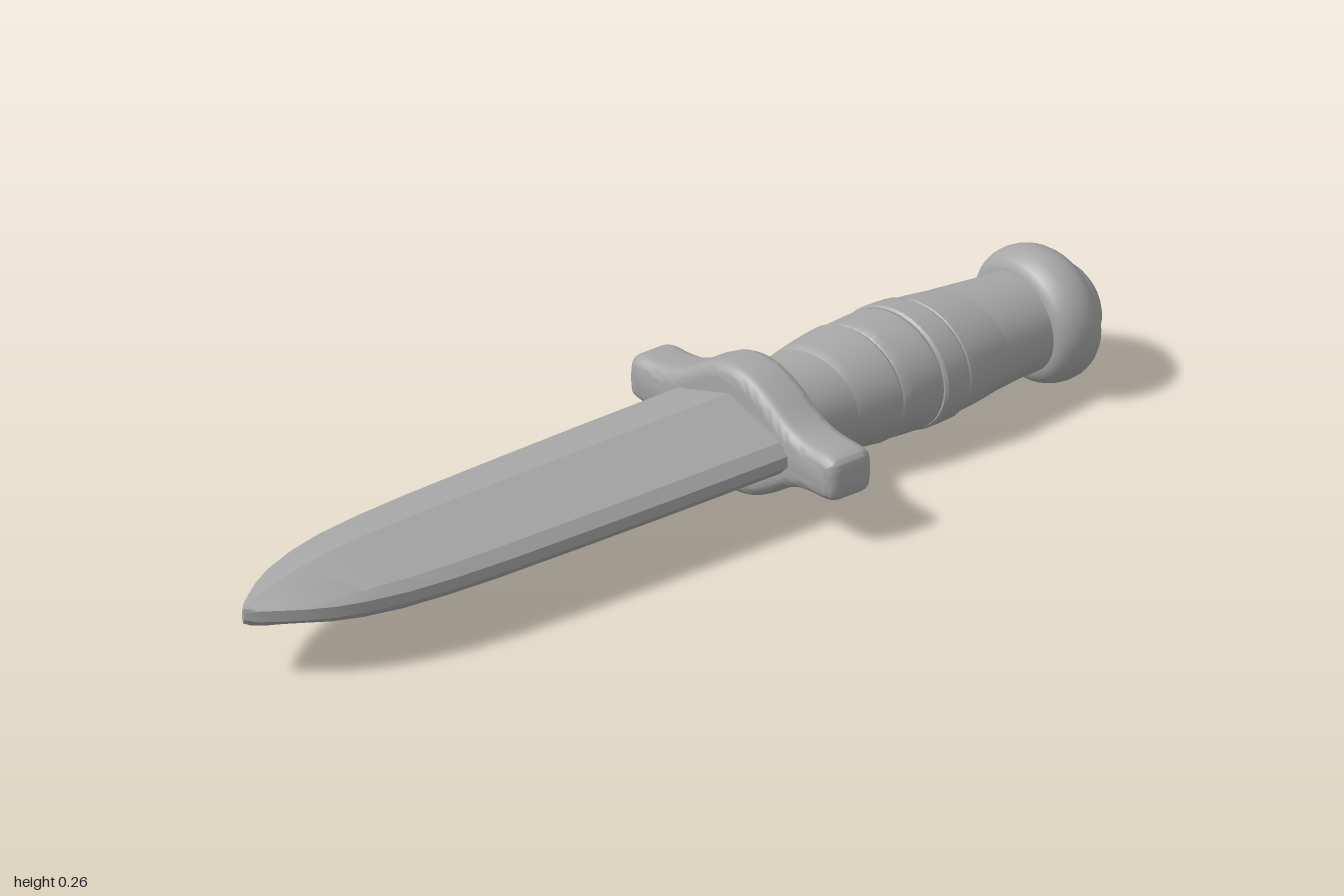
import * as THREE from 'three';
import { toCreasedNormals } from 'three/addons/utils/BufferGeometryUtils.js';

const MID = 0.13; // height of the dagger's long axis
const steel = new THREE.MeshStandardMaterial({ color: 0xa6a6a6 });
steel.name = 'grey';

function part(name, geometry, crease = 0.6) {
  const mesh = new THREE.Mesh(toCreasedNormals(geometry, crease), steel);
  mesh.name = name;
  mesh.position.y = MID;
  return mesh;
}

// Oval turned part: profile of [radius, distance behind the origin]
function turned(name, profile, slant = 0, crease = 0.6) {
  const geo = new THREE.LatheGeometry(profile.map(([r, d]) => new THREE.Vector2(r, d)), 40);
  geo.rotateX(-Math.PI / 2).scale(1, 0.88, 1);
  const p = geo.attributes.position;
  for (let i = 0; i < p.count; i++) p.setZ(i, p.getZ(i) + slant * p.getX(i));
  return part(name, geo, crease);
}

// Blade lofted along z with a faceted diamond section
function blade() {
  // z, half width, half height
  const stations = [
    [-0.2, 0.166, 0.076], [0.1, 0.164, 0.076], [0.3, 0.161, 0.075], [0.5, 0.156, 0.074],
    [0.62, 0.149, 0.072], [0.72, 0.137, 0.07], [0.8, 0.119, 0.064], [0.86, 0.098, 0.056],
    [0.91, 0.071, 0.046], [0.95, 0.044, 0.036], [0.98, 0.022, 0.026], [1, 0.003, 0.015],
  ];
  const pos = [], idx = [], n = 10;
  for (const [z, w, h] of stations) {
    const e = Math.min(0.011, h * 0.5), s = Math.max(h * 0.42, e);
    const ring = [
      [w, -e], [w, e], [w * 0.87, s], [0, h], [-w * 0.87, s],
      [-w, e], [-w, -e], [-w * 0.87, -s], [0, -h], [w * 0.87, -s],
    ];
    for (const [x, y] of ring) pos.push(x, y, z);
  }
  const last = (stations.length - 1) * n;
  for (let i = 0; i < last; i += n) {
    for (let j = 0; j < n; j++) {
      const k = (j + 1) % n;
      idx.push(i + j, i + k, i + n + k, i + j, i + n + k, i + n + j);
    }
  }
  for (let j = 1; j < n - 1; j++) idx.push(0, j + 1, j, last, last + j, last + j + 1);
  const geo = new THREE.BufferGeometry();
  geo.setAttribute('position', new THREE.Float32BufferAttribute(pos, 3));
  geo.setIndex(idx);
  return part('blade', geo, 0.45);
}

// Crossguard swelling in the middle, with rounded edges
function guard() {
  const quarter = [
    [0.29, 0.018], [0.284, 0.037], [0.265, 0.045], [0.22, 0.047], [0.18, 0.053],
    [0.145, 0.067], [0.1, 0.095], [0.05, 0.119], [0, 0.127],
  ];
  const half = [...quarter, ...quarter.slice(0, -1).reverse().map(([x, y]) => [-x, y])];
  const loop = [...half, ...half.map(([x, y]) => [-x, -y])];
  const curve = new THREE.CatmullRomCurve3(loop.map(([x, y]) => new THREE.Vector3(x, y, 0)), true);
  const shape = new THREE.Shape(curve.getPoints(120).slice(0, -1).map((v) => new THREE.Vector2(v.x, v.y)));
  const bevel = 0.026;
  const geo = new THREE.ExtrudeGeometry(shape, {
    depth: 0.105 - 2 * bevel, bevelEnabled: true, bevelSize: bevel,
    bevelThickness: bevel, bevelOffset: -bevel, bevelSegments: 5,
  });
  geo.translate(0, 0, -0.26 + bevel);
  return part('crossguard', geo, 0.7);
}

// Slanted, slightly overlapping wraps on a barrel-shaped grip
function wraps() {
  const group = new THREE.Group();
  group.name = 'gripWraps';
  const edges = [0.305, 0.335, 0.45, 0.545, 0.605, 0.765, 0.795];
  const barrel = (d) => 0.134 - 0.55 * (d - 0.545) ** 2;
  for (let i = 0; i < edges.length - 1; i++) {
    const a = edges[i], b = edges[i + 1];
    const lift = i % 2 ? 0.001 : -0.003;
    const profile = [[0.09, a], [barrel(a) - 0.004 + lift, a]];
    for (let k = 0; k <= 4; k++) {
      const d = a + 0.005 + (b - a - 0.01) * k / 4;
      profile.push([barrel(d) + lift, d]);
    }
    profile.push([barrel(b) - 0.004 + lift, b], [0.09, b]);
    group.add(turned('wrap', profile, -0.12));
  }
  return group;
}

// Points along a rounded rim from one face to the other
function rim(inner, outer, from, to) {
  const pts = [[inner - 0.03, from]], r = (to - from) / 2;
  for (let k = 0; k <= 10; k++) {
    const t = -Math.PI / 2 + Math.PI * k / 10;
    pts.push([inner + (outer - inner) * Math.cos(t), (from + to) / 2 + r * Math.sin(t)]);
  }
  return [...pts, [inner - 0.03, to]];
}

export function createModel() {
  const model = new THREE.Group();
  model.name = 'dagger';
  model.add(blade(), guard(), wraps());
  model.add(turned('gripCore', [[0.107, 0.24], [0.109, 0.31], [0.118, 0.4], [0.118, 0.7], [0.109, 0.79], [0.107, 0.86]]));
  model.add(turned('pommelRing', rim(0.105, 0.146, 0.837, 0.943)));
  const cap = [[0.1, 0.92]];
  for (let k = 0; k <= 8; k++) {
    const t = Math.PI / 2 * k / 8;
    cap.push([k === 8 ? 0 : 0.1 * Math.cos(t), 0.94 + 0.06 * Math.sin(t)]);
  }
  model.add(turned('pommelCap', cap));
  return model;
}
